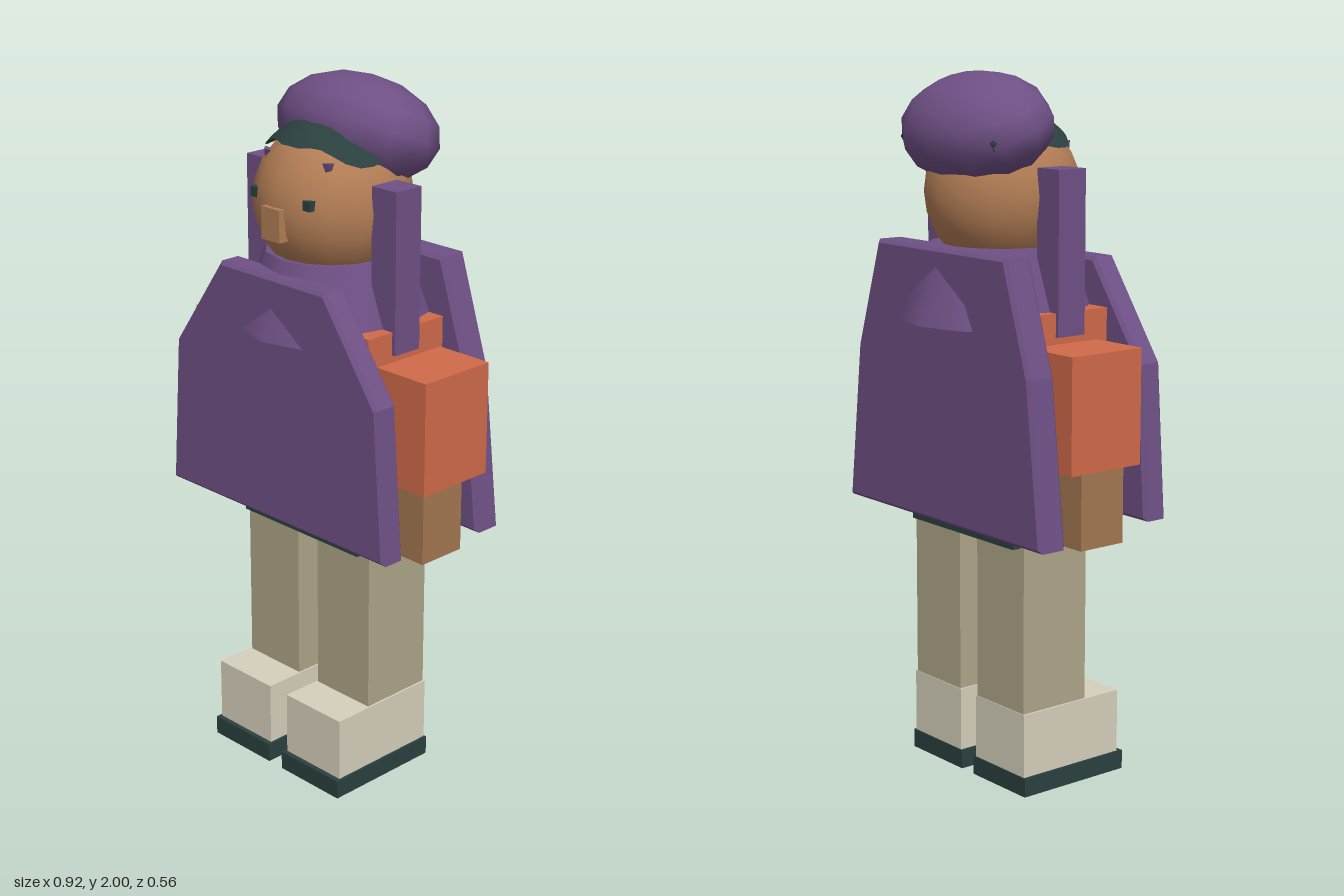
import * as THREE from 'three';

const mat = (color) => new THREE.MeshStandardMaterial({ color, side: THREE.DoubleSide });
const purple = mat(0x6f5085), orange = mat(0xd06a4a), skin = mat(0xb27d55), hand = mat(0xa37751);
const dark = mat(0x2a403f), trouser = mat(0xaea588), shoeMat = mat(0xd6cfbc);

export function createModel() {
  const model = new THREE.Group();
  const add = (name, geometry, material, x = 0, y = 0, z = 0) => {
    const mesh = new THREE.Mesh(geometry, material);
    mesh.name = name;
    mesh.position.set(x, y, z);
    model.add(mesh);
    return mesh;
  };
  // box given by its limits on each axis
  const box = (name, material, [x0, x1], [y0, y1], [z0, z1]) =>
    add(name, new THREE.BoxGeometry(x1 - x0, y1 - y0, z1 - z0), material,
      (x0 + x1) / 2, (y0 + y1) / 2, (z0 + z1) / 2);

  // body
  box('torso', orange, [-0.28, 0.28], [0.755, 1.365], [-0.15, 0.155]);
  box('belt', dark, [-0.23, 0.23], [0.715, 0.756], [-0.135, 0.145]);

  // limbs, hanging scarf ends and paired face parts
  for (const [side, s] of [['left', 1], ['right', -1]]) {
    const span = (a, b) => (s > 0 ? [a, b] : [-b, -a]);
    box(side + 'Sole', dark, span(0.027, 0.26), [0, 0.055], [-0.115, 0.25]);
    box(side + 'Shoe', shoeMat, span(0.035, 0.253), [0.055, 0.24], [-0.112, 0.235]);
    box(side + 'Leg', trouser, span(0.04, 0.247), [0.24, 0.74], [-0.11, 0.115]);
    box(side + 'Sleeve', orange, span(0.27, 0.458), [0.96, 1.28], [-0.122, 0.122]);
    box(side + 'Hand', hand, span(0.28, 0.427), [0.74, 0.97], [-0.06, 0.09]);
    box(side + 'HoodStrip', purple, span(0.2, 0.29), [1.3, 1.75], [-0.028, 0.066]);
    box(side + 'Eye', dark, span(0.089, 0.115), [1.69, 1.717], [0.18, 0.211]);
    const brow = add(side + 'Brow', new THREE.ConeGeometry(0.022, 0.045, 4), purple, s * 0.117, 1.785, 0.144);
    brow.rotation.set(Math.PI - 0.2, 0, s * -0.2);
    const tuft = add(side + 'HairTuft', new THREE.SphereGeometry(0.035, 6, 4), dark, s * 0.186, 1.82, -0.155);
    tuft.scale.set(1, 0.8, 1);
  }

  // front and back cape panels
  const cape = (name, half, z, depth) => {
    const b = 0.01;
    const points = [...half.map(([x, y]) => [x, y]), ...half.map(([x, y]) => [-x, y]).reverse()];
    const shape = new THREE.Shape(points.map(([x, y]) => new THREE.Vector2(x, y)));
    const geometry = new THREE.ExtrudeGeometry(shape, {
      depth: depth - 2 * b, bevelEnabled: true, bevelThickness: b, bevelSize: b, bevelOffset: -b, bevelSegments: 1,
    });
    return add(name, geometry, purple, 0, 0, z + b);
  };
  cape('frontCape', [[0.432, 0.785], [0.4, 1.22], [0.205, 1.495]], 0.17, 0.077);
  cape('backCape', [[0.437, 0.762], [0.385, 1.22], [0.285, 1.53]], -0.22, 0.09).position.x = -0.012;

  // collar
  add('collar', new THREE.CylinderGeometry(0.2, 0.28, 0.21, 12), purple, 0, 1.425, 0);

  // head and nose
  const head = add('head', new THREE.SphereGeometry(0.222, 16, 12), skin, 0, 1.67, 0.013);
  head.scale.x = 0.98;
  box('nose', skin, [-0.035, 0.035], [1.595, 1.685], [0.18, 0.245]);

  // hair cap with a jagged fringe over the forehead
  const hairGeometry = new THREE.SphereGeometry(0.235, 32, 8, 0, Math.PI * 2, 0, 1);
  const p = hairGeometry.attributes.position, uv = hairGeometry.attributes.uv;
  const v = new THREE.Vector3();
  for (let i = 0; i < p.count; i++) {
    v.fromBufferAttribute(p, i);
    const polar = v.angleTo(new THREE.Vector3(0, 1, 0));
    const azimuth = Math.atan2(v.x, v.z);
    const a = Math.abs(azimuth);
    const limit = 0.7 + 0.2 * Math.min(a, 1.5) + 0.06 * Math.cos(a * 5.5);
    p.setXYZ(i, ...new THREE.Vector3().setFromSphericalCoords(0.235, polar * limit, azimuth).toArray());
  }
  uv.needsUpdate = true;
  hairGeometry.computeVertexNormals();
  add('hair', hairGeometry, dark, 0, 1.67, 0.013);

  // soft cap, tilted down to the back
  const hat = add('hat', new THREE.SphereGeometry(1, 12, 8), purple, 0, 1.85, -0.078);
  hat.scale.set(0.263, 0.147, 0.182);
  hat.rotation.x = -0.4;
  return model;
}
